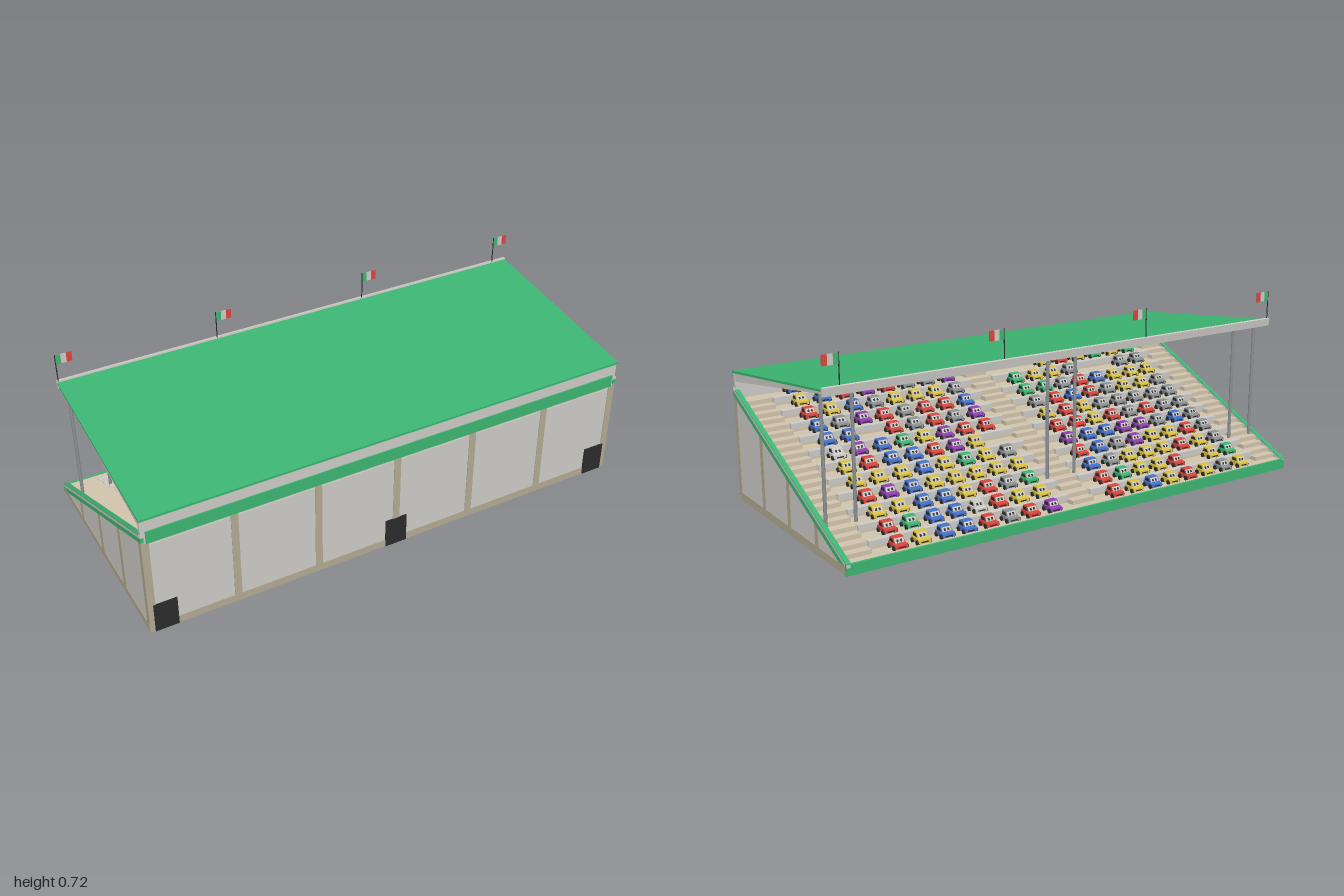
import * as THREE from 'three';
import { mergeGeometries } from 'three/addons/utils/BufferGeometryUtils.js';

const mat = (name, color) => {
  const m = new THREE.MeshStandardMaterial({ color });
  m.name = name;
  return m;
};

const M = {
  green: mat('green', 0x3cb371),
  concrete: mat('concrete grey', 0xcbc9c4),
  beige: mat('pillar beige', 0xb0a890),
  floor: mat('floor sand', 0xcfc3ab),
  dark: mat('near black', 0x2a2a2a),
  steel: mat('steel grey', 0x8a8f92),
  red: mat('red', 0xd8443c),
  blue: mat('blue', 0x4470c8),
  yellow: mat('yellow', 0xd8c044),
  purple: mat('purple', 0x8f3fae),
};

// Height of the sloping parapet top at depth z
const slope = (z) => 0.04 + 0.44 * (z + 0.456);
const Z = 0.456;

// Extrudes a (z, y) outline along x, centred on x
function extrudeX(points, width, x = 0) {
  const shape = new THREE.Shape(points.map(([a, b]) => new THREE.Vector2(a, b)));
  const g = new THREE.ExtrudeGeometry(shape, { depth: width, bevelEnabled: false });
  return g.rotateY(-Math.PI / 2).translate(x + width / 2, 0, 0);
}

// Box given by its limits on each axis
function span(x0, x1, y0, y1, z0, z1) {
  return new THREE.BoxGeometry(x1 - x0, y1 - y0, z1 - z0)
    .translate((x0 + x1) / 2, (y0 + y1) / 2, (z0 + z1) / 2);
}

function add(parent, name, geometry, material) {
  const m = new THREE.Mesh(geometry, material);
  m.name = name;
  parent.add(m);
  return m;
}

// Small seeded random generator
let seed = 7;
const rnd = () => (seed = (seed * 16807) % 2147483647) / 2147483647;

// Shared spectator car geometry, nose towards -z
function carParts() {
  const body = extrudeX([[-0.029, 0.006], [0.028, 0.006], [0.028, 0.022], [-0.006, 0.023], [-0.027, 0.019]], 0.048);
  const cabin = extrudeX([[-0.014, 0.021], [0.026, 0.021], [0.02, 0.041], [-0.003, 0.041]], 0.04);
  const wheels = [];
  for (const x of [-0.023, 0.023]) for (const z of [-0.017, 0.017])
    wheels.push(new THREE.CylinderGeometry(0.009, 0.009, 0.01, 8).toNonIndexed().rotateZ(Math.PI / 2).translate(x, 0.009, z));
  const windows = [-1, 1].map((s) =>
    extrudeX([[-0.007, 0.025], [0.02, 0.025], [0.017, 0.036], [0, 0.036]], 0.002, s * 0.0202));
  const mouth = span(-0.014, 0.014, 0.009, 0.013, -0.0297, -0.028).toNonIndexed();
  // windscreen eyes lie on the sloping cabin front
  const screen = extrudeX([[-0.0135, 0.0235], [-0.012, 0.0235], [-0.0025, 0.038], [-0.0055, 0.038]], 0.035);
  const pupils = [-1, 1].map((s) =>
    extrudeX([[-0.013, 0.026], [-0.01, 0.026], [-0.005, 0.034], [-0.009, 0.034]], 0.007, s * 0.007));
  return {
    paint: mergeGeometries([body, cabin]),
    black: mergeGeometries([...wheels, ...windows, mouth, ...pupils]),
    screen,
  };
}

function addCars(root, rows, rise, pitch) {
  const car = carParts();
  const xs = [0.145, 0.24, 0.33, 0.42, 0.51, 0.6, 0.695, 0.785];
  const columns = [...xs.map((x) => -x).reverse(), ...xs];
  const code = { r: M.red, b: M.blue, y: M.yellow, p: M.purple, g: M.green, s: M.steel, w: M.concrete };
  const palette = 'rrrryyyyybbbppgssss-';
  const nearRows = ['ysyrybyrprsrbbyr', 'gy-ryygryyrwbbgr'];
  const endColumn = 'rryryywbbryb';
  for (let i = 0; i < rows; i++) {
    columns.forEach((x, c) => {
      let k = palette[Math.floor(rnd() * palette.length)];
      if (c === 15) k = endColumn[i];
      if (nearRows[i]) k = nearRows[i][c];
      if (k === '-') return;
      const g = new THREE.Group();
      g.name = 'spectatorCar';
      g.position.set(x, 0.039 + i * rise, -0.414 + i * pitch);
      add(g, 'carBody', car.paint, code[k]);
      add(g, 'carTrim', car.black, M.dark);
      add(g, 'carWindscreen', car.screen, M.concrete);
      root.add(g);
    });
  }
}

export function createModel() {
  const root = new THREE.Group();
  root.name = 'grandstand';
  seed = 7;

  // Front wall with plinth, pillars, stripe and doors
  add(root, 'frontWall', span(-0.997, 0.997, 0, 0.5, 0.437, 0.451), M.concrete);
  add(root, 'frontPlinth', span(-1, 1, 0, 0.03, 0.445, 0.4535), M.beige);
  add(root, 'frontStripe', span(-0.98, 0.98, 0.4, 0.45, 0.448, Z), M.green);
  for (let i = -3; i <= 3; i++) {
    const x = i * 0.3283;
    add(root, 'frontPillar', span(x - 0.014, x + 0.014, 0, 0.4, 0.445, 0.4535), M.beige);
  }
  for (const x of [-0.935, 0, 0.935])
    add(root, 'door', span(x - 0.045, x + 0.045, 0, 0.12, 0.448, Z), M.dark);

  // Sloping side walls
  for (const s of [-1, 1]) {
    add(root, 'sideWall', extrudeX([[-0.45, 0], [0.45, 0], [0.45, slope(0.45) - 0.004], [-0.45, slope(-0.45) - 0.004]], 0.012, s * 0.991), M.concrete);
    add(root, 'sidePlinth', span(s * 0.9935 - 0.0055, s * 0.9935 + 0.0055, 0, 0.032, -0.452, 0.4535), M.beige);
    for (const z of [0.441, 0.215, -0.008, -0.23]) {
      const a = z - 0.0135, b = z + 0.0125;
      add(root, 'sidePillar', extrudeX([[a, 0], [b, 0], [b, slope(b) - 0.03], [a, slope(a) - 0.03]], 0.01, s * 0.994), M.beige);
    }
    add(root, 'sideStripe', extrudeX([[Z, slope(Z) - 0.031], [Z, slope(Z) - 0.012], [-0.445, 0.033], [-0.4, 0.033]], 0.012, s * 0.994), M.green);
    add(root, 'parapet', extrudeX([[Z, slope(Z) - 0.012], [Z, slope(Z)], [-Z, slope(-Z)], [-Z, slope(-Z) - 0.012]], 0.016, s * 0.992), M.concrete);
    add(root, 'parapetCap', extrudeX([[0.437, slope(0.437)], [0.437, slope(0.437) + 0.003], [-Z, slope(-Z) + 0.003], [-Z, slope(-Z)]], 0.018, s * 0.991), M.green);
  }
  add(root, 'rearFascia', span(-1, 1, 0, 0.041, -Z, -0.447), M.green);

  // Stepped seating shell
  const rows = 12, pitch = 0.0745, rise = 0.033, z0 = -0.45;
  const top = [], under = [];
  for (let i = 0; i < rows; i++) {
    const y = 0.039 + i * rise, a = z0 + i * pitch, b = a + pitch;
    top.push([a, y], [b, y]);
    under.push([a + 0.008, y - 0.012], [b + 0.008, y - 0.012]);
  }
  add(root, 'terrace', extrudeX([...top, ...under.reverse()], 1.968), M.floor);

  // Grey bench risers and half steps in the aisles
  for (let i = 1; i < rows; i++) {
    const y = 0.039 + i * rise, z = z0 + i * pitch;
    for (const s of [-1, 1])
      add(root, 'bench', span(s * 0.465 - 0.415, s * 0.465 + 0.415, y - rise + 0.014, y + 0.002, z - 0.012, z + 0.012), M.concrete);
    for (const [x, w] of [[-0.932, 0.1], [0, 0.098], [0.932, 0.1]])
      add(root, 'aisleStep', span(x - w / 2, x + w / 2, y - rise, y - rise / 2, z - 0.035, z), M.floor);
  }
  addCars(root, rows, rise, pitch);

  // Roof sheet, tapered beams and edge gutter
  add(root, 'roof', extrudeX([[Z, 0.498], [Z, 0.507], [-0.318, 0.603], [-0.318, 0.595]], 2), M.green);
  for (let i = -3; i <= 3; i++)
    add(root, 'roofBeam', extrudeX([[0.45, 0.465], [0.45, 0.4985], [-0.315, 0.5945], [-0.315, 0.586]], 0.02, i * 0.3283), M.concrete);
  const gutter = add(root, 'gutter', new THREE.BoxGeometry(2, 0.03, 0.012), M.concrete);
  gutter.position.set(0, 0.594, -0.323);
  gutter.rotation.x = -0.12;

  // Paired roof columns
  for (const s of [-1, 1]) for (const x of [0.978, 0.865, 0.063]) {
    const c = add(root, 'column', new THREE.CylinderGeometry(0.0065, 0.0065, 0.49, 12), M.steel);
    c.position.set(s * x, 0.347, -0.265);
  }

  // Flags with three vertical bands
  for (const x of [-0.995, -0.356, 0.29, 0.933]) {
    add(root, 'flagPole', new THREE.CylinderGeometry(0.002, 0.002, 0.125, 6).translate(x, 0.6575, -0.32), M.dark);
    [M.green, M.concrete, M.red].forEach((m, i) =>
      add(root, 'flagBand', span(x + i * 0.021, x + (i + 1) * 0.021, 0.68, 0.718, -0.3215, -0.3185), m));
  }
  return root;
}
